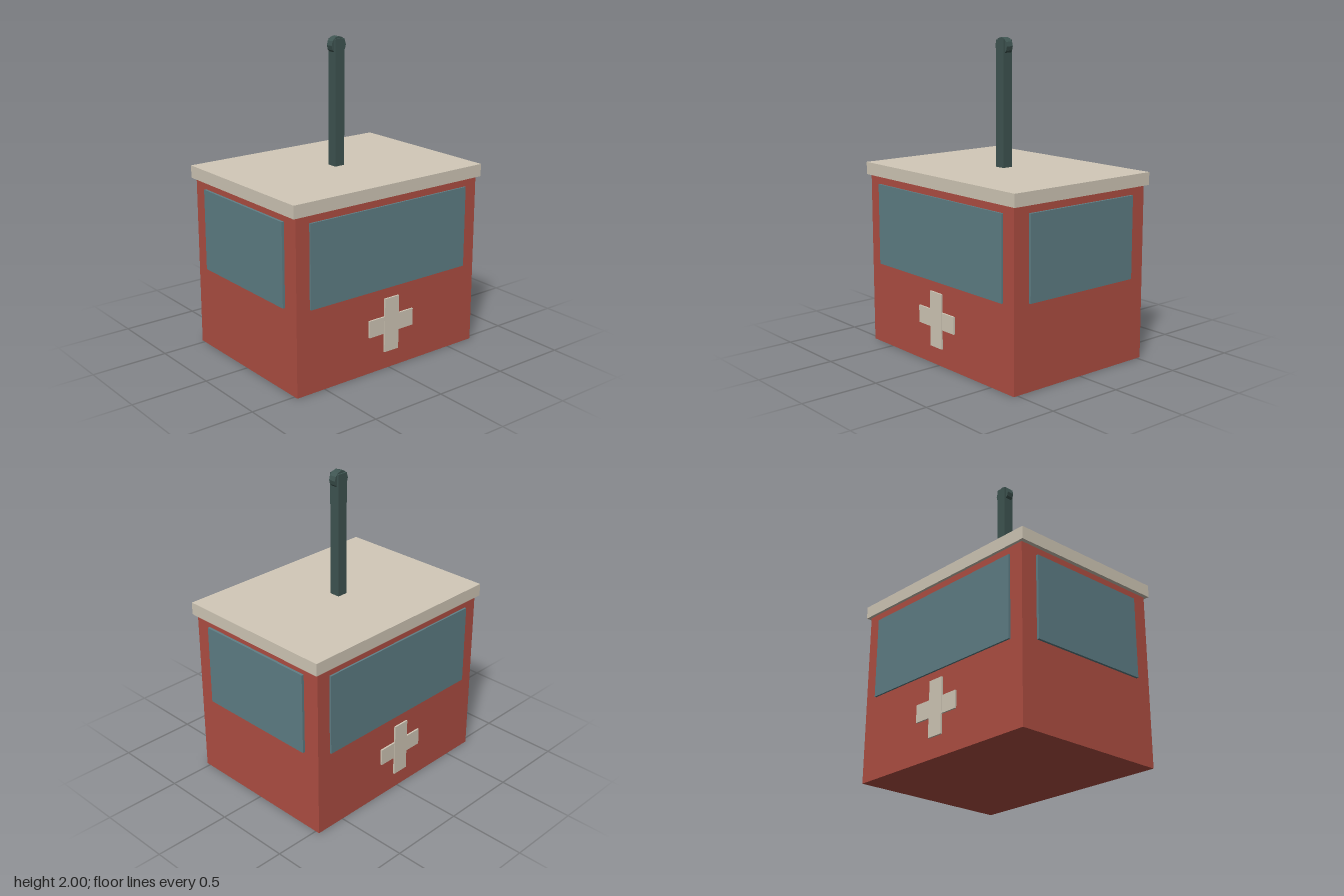
import * as THREE from 'three';

export function createModel() {
  const model = new THREE.Group();
  model.name = 'cableCar';
  const paint = (color) => new THREE.MeshStandardMaterial({ color, flatShading: true });
  const red = paint(0xb04f43);
  const cream = paint(0xd2c9b8);
  const glass = paint(0x5f7f86);
  const steel = paint(0x3f5552);

  // Box given by its size and centre
  function box(name, material, [w, h, d], [x, y, z], parent = model) {
    const mesh = new THREE.Mesh(new THREE.BoxGeometry(w, h, d), material);
    mesh.name = name;
    mesh.position.set(x, y, z);
    parent.add(mesh);
    return mesh;
  }

  // Cabin and overhanging roof
  box('cabin', red, [1.404, 1.11, 1.056], [0, 0.555, 0]);
  box('roof', cream, [1.456, 0.08, 1.094], [0, 1.15, 0]);

  // Windows and crosses, mirrored on opposite walls
  for (const side of [1, -1]) {
    const end = side > 0 ? 'front' : 'back';
    box(end + 'Window', glass, [1.214, 0.525, 0.024], [0, 0.797, side * 0.528]);
    box(side > 0 ? 'leftWindow' : 'rightWindow', glass, [0.024, 0.525, 0.832], [side * 0.706, 0.797, 0]);

    const cross = new THREE.Group();
    cross.name = end + 'Cross';
    box('crossUpright', cream, [0.11, 0.35, 0.011], [0, 0.297, side * 0.5465], cross);
    box('crossBar', cream, [0.346, 0.11, 0.011], [0, 0.3, side * 0.5435], cross);
    model.add(cross);
  }

  // Hanger arm with the cable wheel at its top
  box('hangerArm', steel, [0.07, 0.795, 0.07], [0, 1.5875, 0]);
  const wheel = new THREE.Mesh(new THREE.CylinderGeometry(0.055, 0.055, 0.048, 12), steel);
  wheel.name = 'cableWheel';
  wheel.rotation.x = Math.PI / 2;
  wheel.position.y = 1.945;
  model.add(wheel);

  return model;
}
